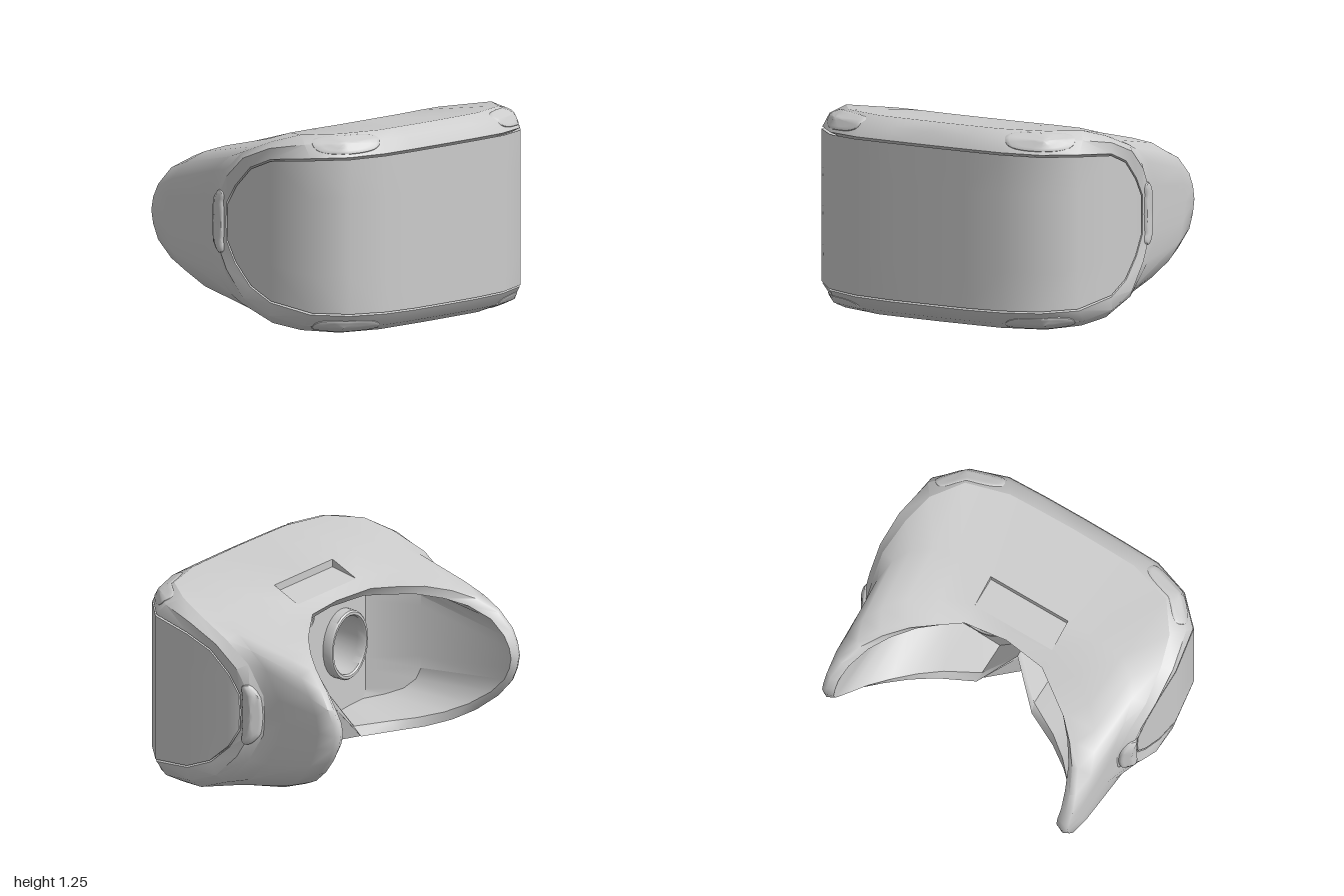
import * as THREE from 'three';
import { toCreasedNormals } from 'three/addons/utils/BufferGeometryUtils.js';

const CENTRE = new THREE.Vector3(0, 0.63, 0.1);
const SIDE = 9, HALF = 18, FULL = 36;
const V = (x, y, z) => new THREE.Vector3(x, y, z);

const material = new THREE.MeshStandardMaterial({ color: 0xcccccc });
const thinMaterial = new THREE.MeshStandardMaterial({ color: 0xcccccc, side: THREE.DoubleSide });

function mesh(name, geometry, mat = material) {
  const m = new THREE.Mesh(geometry, mat);
  m.name = name;
  return m;
}

// Closed ring around the body: top centre, left side, bottom centre, right side.
// Each key is [x, top y, bottom y, z], running from the centre line to the side.
function ring(keys, bottomCentre, bottomNext) {
  const half = [];
  for (let j = 0; j <= HALF; j++) {
    const [x, top, bottom, z] = keys[j <= SIDE ? j : HALF - j];
    half.push(V(x, j <= SIDE ? top : bottom, z));
  }
  if (bottomCentre) half[HALF] = bottomCentre;
  if (bottomNext) half[HALF - 1] = bottomNext;
  const mirrored = half.slice(1, HALF).reverse().map((p) => V(-p.x, p.y, p.z));
  return [...half, ...mirrored];
}

// Surface through rows of points, with mirrored diagonals
function skin(rows, closed = true, skip = () => false, crease = 0.75) {
  const n = rows[0].length, cols = closed ? n : n - 1;
  const positions = rows.flat().flatMap((p) => [p.x, p.y, p.z]);
  const index = [];
  for (let r = 0; r < rows.length - 1; r++) {
    for (let i = 0; i < cols; i++) {
      if (skip(r, i)) continue;
      const k = (i + 1) % n;
      const a = r * n + i, b = r * n + k, c = b + n, d = a + n;
      if (i < cols / 2) index.push(a, b, d, b, c, d);
      else index.push(a, b, c, a, c, d);
    }
  }
  const g = new THREE.BufferGeometry();
  g.setAttribute('position', new THREE.Float32BufferAttribute(positions, 3));
  g.setIndex(index);
  return toCreasedNormals(g, crease);
}

const scaled = (rows, s) => rows.map((p) => p.clone().sub(CENTRE).multiplyScalar(s).add(CENTRE));

export function createModel() {
  const group = new THREE.Group();

  // Guide rings from the front panel edge back to the face opening
  const edge = ring([
    [0, 1.13, 0.12, 0.83], [0.28, 1.13, 0.12, 0.828], [0.54, 1.13, 0.125, 0.82],
    [0.78, 1.125, 0.13, 0.74], [0.95, 1.12, 0.14, 0.57], [1, 1.09, 0.19, 0.28],
    [0.99, 1.02, 0.27, 0.1], [0.975, 0.89, 0.4, -0.04], [0.968, 0.77, 0.53, -0.12],
    [0.965, 0.65, 0.65, -0.125]]);
  const bevel = ring([
    [0, 1.255, 0.005, 0.7], [0.28, 1.255, 0.005, 0.695], [0.45, 1.255, 0.005, 0.69],
    [0.73, 1.255, 0.008, 0.61], [0.87, 1.245, 0.02, 0.42], [0.925, 1.19, 0.05, 0.23],
    [0.955, 1.1, 0.15, 0.0], [0.935, 0.97, 0.33, -0.16], [0.915, 0.78, 0.52, -0.265],
    [0.91, 0.64, 0.64, -0.27]]);
  const shoulder = ring([
    [0, 1.21, 0.05, 0.18], [0.28, 1.21, 0.05, 0.18], [0.5, 1.21, 0.05, 0.17],
    [0.68, 1.205, 0.055, 0.15], [0.8, 1.175, 0.07, 0.08], [0.87, 1.12, 0.11, -0.02],
    [0.9, 1.05, 0.19, -0.15], [0.905, 0.95, 0.33, -0.28], [0.905, 0.78, 0.5, -0.38],
    [0.905, 0.64, 0.64, -0.41]], V(0, 0.04, 0.3), V(0.28, 0.04, 0.25));
  const waist = ring([
    [0, 1.13, 0.1, -0.01], [0.28, 1.13, 0.1, -0.01], [0.5, 1.125, 0.1, -0.08],
    [0.66, 1.11, 0.11, -0.19], [0.77, 1.085, 0.14, -0.31], [0.84, 1.045, 0.2, -0.42],
    [0.885, 0.97, 0.29, -0.54], [0.905, 0.86, 0.4, -0.63], [0.905, 0.75, 0.53, -0.68],
    [0.905, 0.64, 0.64, -0.7]], V(0, 0.075, 0.11));
  const rim = ring([
    [0, 1.09, 0.13, -0.09], [0.28, 1.095, 0.13, -0.13], [0.42, 1.09, 0.13, -0.23],
    [0.56, 1.075, 0.14, -0.33], [0.68, 1.04, 0.18, -0.45], [0.77, 0.99, 0.25, -0.57],
    [0.83, 0.91, 0.36, -0.7], [0.855, 0.8, 0.47, -0.785], [0.855, 0.72, 0.56, -0.825],
    [0.855, 0.64, 0.64, -0.84]],
  V(0, 0.5, 0.04), V(0.2, 0.13, -0.12));
  const middle = scaled(edge.map((p, i) => p.clone().lerp(bevel[i], 0.5)), 1.03);
  const groove = scaled(edge, 0.95);
  const lip = rim.map((p) => V(p.x * 0.945, 0.63 + (p.y - 0.63) * 0.88, p.z + 0.05 - 0.04 * p.x * p.x));

  // Boxy end of the cavity: flat behind the lenses, swept back at the sides
  const plateZ = 0.14, plateHalf = 0.55;
  const back = lip.map((p) => {
    const dy = p.y - 0.63;
    const boxy = Math.abs(p.x) > 0.3 ? Math.sign(dy) * Math.sqrt(Math.abs(dy) * 0.4) : dy;
    return V(p.x, 0.63 + boxy, plateZ - Math.max(0, Math.abs(p.x) - plateHalf) * 0.9);
  });
  const plateEdge = back.map((p) =>
    V(THREE.MathUtils.clamp(p.x, -plateHalf, plateHalf), 0.63 + (p.y - 0.63) * 0.96, plateZ));

  // Front panel wrapping round to both sides
  const panelEdge = edge.map((p) =>
    V(p.x, 0.63 + (p.y - 0.63) * 0.975, p.z > 0.4 ? p.z + 0.008 : 0.4 + (p.z - 0.4) * 0.98));
  const panelRows = [];
  for (let k = 0; k <= 4; k++) {
    const row = [];
    for (let c = -SIDE; c <= SIDE; c++) {
      row.push(panelEdge[HALF - c].clone().lerp(panelEdge[(c + FULL) % FULL], k / 4));
    }
    panelRows.push(row);
  }
  group.add(mesh('frontPanel', skin(panelRows, false)));
  group.add(mesh('frontPanelEdge', skin([panelEdge, groove])));

  // Bevelled frame around the panel
  group.add(mesh('frontFrame', skin([groove, edge, middle, bevel])));

  // Outer shell and rounded rim; the top pocket is left open
  const turn = rim.map((p, i) => {
    const q = p.clone().lerp(waist[i], 0.13);
    q.x *= 1 + 0.045 * q.x * q.x;
    return q;
  });
  const inPocket = (r, i) => r === 1 && (i === 0 || i === FULL - 1);
  group.add(mesh('faceShell', skin([bevel, shoulder, waist, turn, rim, lip], true, inPocket, 1.1)));
  group.add(mesh('cavityWall', skin([lip, back, plateEdge], true, undefined, 0.9)));

  // Shallow pocket on top, running out flush at the rear
  const w = 0.28, zf = 0.18, zb = -0.01, low = 1.16, high = 1.21, rear = 1.13;
  const pocket = [
    [V(-w, high, zf), V(w, high, zf)],
    [V(-w, low, zf), V(w, low, zf)],
    [V(-w, rear, zb), V(w, rear, zb)]];
  group.add(mesh('topPocket', skin(pocket, false, undefined, 0.3), thinMaterial));
  for (const s of [-1, 1]) {
    const side = [
      [V(s * w, high, zf), V(s * w, rear, zb)],
      [V(s * w, low, zf), V(s * w, rear, zb)]];
    group.add(mesh('topPocketSide', skin(side, false), thinMaterial));
  }

  // Inner plate with a hole for each lens and a small central opening
  const plate = new THREE.Shape(plateEdge.map((p) => new THREE.Vector2(p.x, p.y)));
  const lensX = 0.32, lensY = 0.65, narrow = 0.95, tall = 1.2, sensorY = 0.9;
  const hole = (x, y, rx, ry) =>
    plate.holes.push(new THREE.Path().absellipse(x, y, rx, ry, 0, Math.PI * 2, true));
  for (const s of [-1, 1]) hole(s * lensX, lensY, 0.165 * narrow, 0.165 * tall);
  hole(0, sensorY, 0.04, 0.04);
  const plateGeometry = new THREE.ShapeGeometry(plate, 16);
  plateGeometry.translate(0, 0, plateZ);
  group.add(mesh('lensPlate', plateGeometry, thinMaterial));

  // Turned cups, opening towards the wearer
  const cup = (name, profile, x, y, sx, sy) => {
    const g = new THREE.LatheGeometry(profile.map(([r, h]) => new THREE.Vector2(r, h)), 28);
    g.rotateX(-Math.PI / 2);
    g.scale(sx, sy, 1);
    g.translate(x, y, plateZ);
    group.add(mesh(name, toCreasedNormals(g, 0.7), thinMaterial));
  };
  for (const s of [-1, 1]) {
    cup('lensTube', [[0, -0.17], [0.08, -0.175], [0.145, -0.2], [0.16, 0], [0.16, 0.06],
      [0.168, 0.07], [0.182, 0.07], [0.19, 0.06], [0.19, -0.02]], s * lensX, lensY, narrow, tall);
  }
  cup('sensorWell', [[0, -0.05], [0.038, -0.05], [0.038, 0.008], [0.05, 0.008], [0.05, -0.01]], 0, sensorY, 1, 1);

  // Rounded pads following the frame; u runs round the frame, v across it
  const frameRows = [edge, middle, bevel];
  const onFrame = (u, v) => {
    const i = Math.floor(u), r = Math.min(1, Math.floor(v));
    const at = (row) => row[i % FULL].clone().lerp(row[(i + 1) % FULL], u - i);
    return at(frameRows[r]).lerp(at(frameRows[r + 1]), v - r);
  };
  const soft = (t) => Math.sign(t) * Math.abs(t) ** 0.65;
  const pad = (name, u, ru, v, rv, height) => {
    const rows = [1, 0.96, 0.88, 0.7, 0.45, 0.2, 0].map((r, k) => {
      const lift = k === 0 ? -0.012 : k === 1 ? height * 0.6 : height;
      return Array.from({ length: 32 }, (_, i) => {
        const a = (i / 32) * Math.PI * 2;
        const p = onFrame(u + ru * r * soft(Math.cos(a)), v + rv * r * soft(Math.sin(a)));
        return p.addScaledVector(p.clone().sub(CENTRE).normalize(), lift);
      });
    });
    group.add(mesh(name, skin(rows)));
  };
  for (const at of [(u) => u, (u) => FULL - u]) {
    pad('topPad', at(2.95), 0.88, 1.0, 0.8, 0.008);
    pad('bottomPad', at(15.05), 0.88, 1.1, 0.7, 0.008);
    pad('sidePad', at(SIDE), 1.45, 1.05, 0.85, 0.018);
  }

  return group;
}
